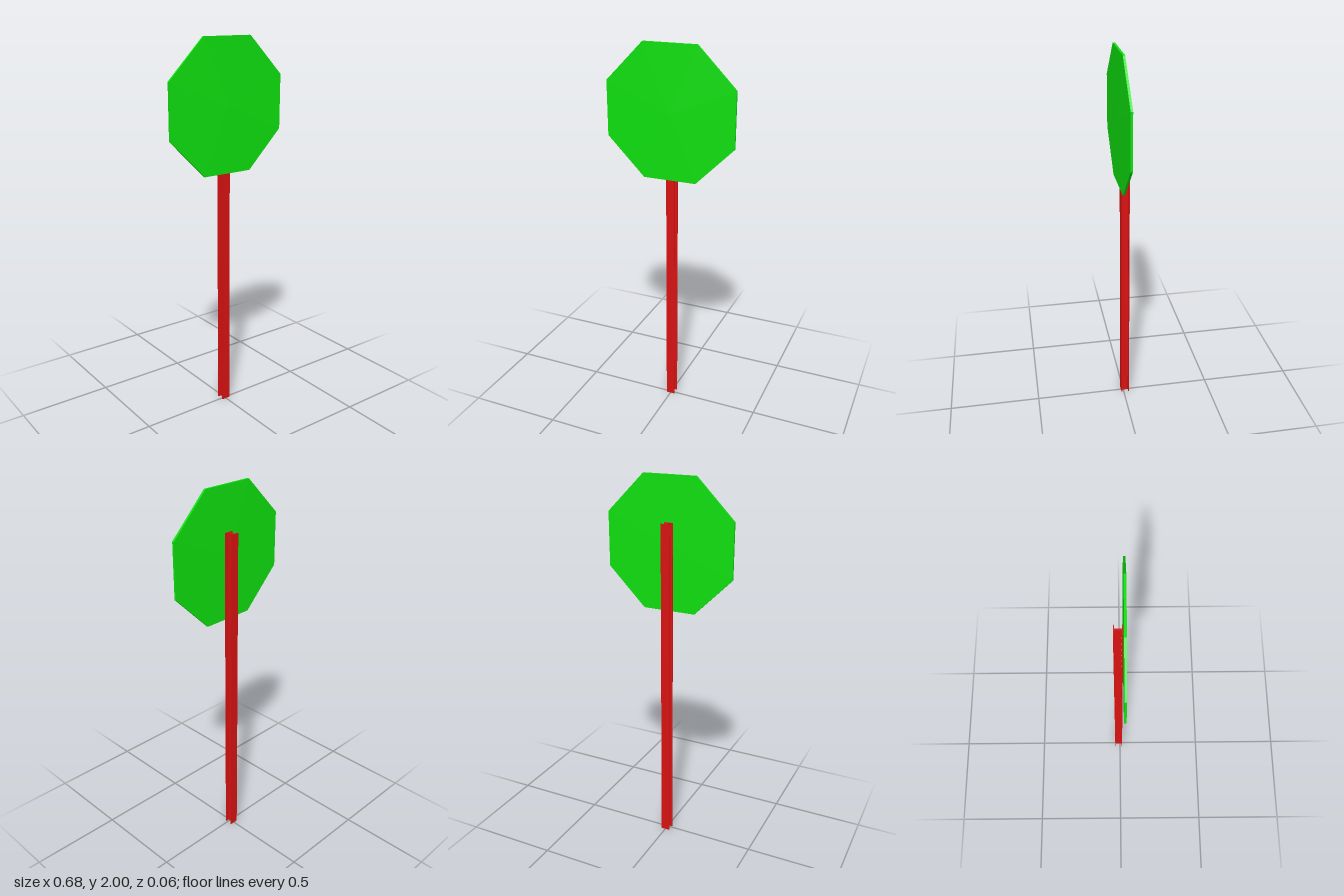
import * as THREE from 'three';

export function createModel() {
  const root = new THREE.Group();
  const red = new THREE.MeshStandardMaterial({ color: 0xd81212 });
  const green = new THREE.MeshStandardMaterial({ color: 0x0ee00e, flatShading: true });
  const add = (name, geometry, material, x, y, z, parent = root) => {
    const mesh = new THREE.Mesh(geometry, material);
    mesh.name = name;
    mesh.position.set(x, y, z);
    parent.add(mesh);
    return mesh;
  };

  // I-beam post: one extruded cross-section (shape y becomes -z)
  const height = 1.77, half = 0.0235, web = 0.005;
  const back = -0.031, backIn = -0.027, frontIn = 0.009, front = 0.0135;
  const side = [[half, back], [half, backIn], [web, backIn], [web, frontIn], [half, frontIn], [half, front]];
  const outline = [...side, ...side.map(([x, z]) => [-x, z]).reverse()];
  const section = new THREE.Shape(outline.map(([x, z]) => new THREE.Vector2(x, -z)));
  const postGeometry = new THREE.ExtrudeGeometry(section, { depth: height, bevelEnabled: false });
  postGeometry.rotateX(-Math.PI / 2);
  add('post', postGeometry, red, 0, 0, 0);

  // Two columns of bolt heads on the inner face of the front flange
  const bolts = new THREE.Group();
  bolts.name = 'bolts';
  root.add(bolts);
  const boltGeometry = new THREE.CylinderGeometry(0.0055, 0.0055, 0.005, 8);
  boltGeometry.rotateX(Math.PI / 2);
  for (const x of [-0.014, 0.014])
    for (let i = 0; i < 6; i++) add('bolt', boltGeometry, red, x, 1.39 + i * 0.065, 0.007, bolts);

  // Octagonal panel, slightly domed on both faces: rings run from back centre to front centre
  const radius = 0.342 / Math.cos(Math.PI / 8);
  const profile = [[0, -0.0085], [radius, -0.0057], [radius, 0.0057], [0, 0.0085]]
    .map(([r, y]) => new THREE.Vector2(r, y));
  const panelGeometry = new THREE.LatheGeometry(profile, 8, Math.PI / 8);
  panelGeometry.rotateX(Math.PI / 2);
  add('signPanel', panelGeometry, green, 0, 1.658, 0.0205);

  return root;
}
